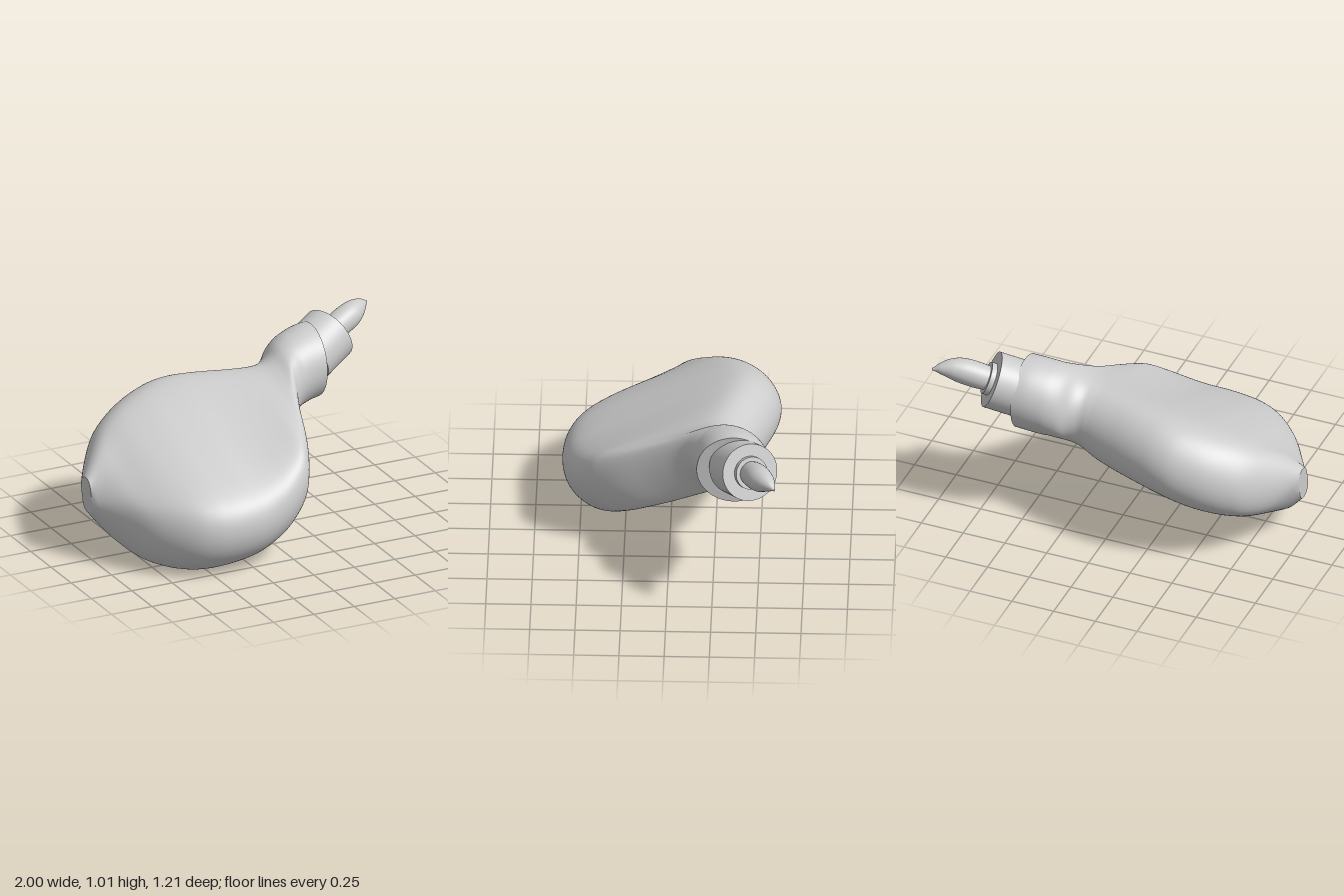
import * as THREE from 'three';

const V = (x, y, z) => new THREE.Vector3(x, y, z);

// Skin over equal-length closed rings, with flat end caps
function loft(rings) {
  const n = rings[0].length, pos = [], idx = [];
  rings.forEach(r => r.forEach(p => pos.push(p.x, p.y, p.z)));
  for (let i = 0; i < rings.length - 1; i++) {
    for (let j = 0; j < n; j++) {
      const k = (j + 1) % n, a = i * n + j, b = i * n + k;
      idx.push(a, a + n, b, b, a + n, b + n);
    }
  }
  [rings[0], rings[rings.length - 1]].forEach((ring, end) => {
    const base = pos.length / 3;
    const c = ring.reduce((s, p) => s.add(p), V(0, 0, 0)).divideScalar(n);
    [c, ...ring].forEach(p => pos.push(p.x, p.y, p.z));
    for (let j = 0; j < n; j++) {
      const a = base + 1 + j, b = base + 1 + (j + 1) % n;
      if (end) idx.push(base, b, a); else idx.push(base, a, b);
    }
  });
  const g = new THREE.BufferGeometry();
  g.setAttribute('position', new THREE.Float32BufferAttribute(pos, 3));
  g.setIndex(idx);
  g.computeVertexNormals();
  return g;
}

// Flat, leaning bottle body that narrows into a round neck
function bodyGeometry() {
  // x, bottom, top, back, front, edge radius
  const sections = [
    [-1, 0.27, 0.47, -0.13, 0.01, 0.06],
    [-0.9, 0.14, 0.565, -0.30, 0.18, 0.155],
    [-0.8, 0.05, 0.645, -0.435, 0.352, 0.205],
    [-0.7, 0.012, 0.707, -0.51, 0.47, 0.233],
    [-0.6, 0, 0.752, -0.56, 0.55, 0.245],
    [-0.5, 0, 0.787, -0.59, 0.59, 0.25],
    [-0.4, 0.01, 0.812, -0.605, 0.605, 0.247],
    [-0.3, 0.024, 0.827, -0.598, 0.605, 0.243],
    [-0.2, 0.043, 0.832, -0.575, 0.592, 0.238],
    [-0.1, 0.078, 0.834, -0.545, 0.567, 0.234],
    [0, 0.128, 0.835, -0.51, 0.53, 0.23],
    [0.1, 0.20, 0.838, -0.475, 0.465, 0.222],
    [0.15, 0.25, 0.842, -0.457, 0.395, 0.214],
    [0.2, 0.315, 0.852, -0.446, 0.28, 0.206],
    [0.25, 0.41, 0.877, -0.462, 0.10, 0.202],
    [0.3, 0.49, 0.92, -0.505, -0.04, 0.205],
    [0.35, 0.522, 0.948, -0.533, -0.098, 0.208],
    [0.4, 0.54, 0.965, -0.55, -0.13, 0.208],
    [0.47, 0.558, 0.982, -0.566, -0.15, 0.207],
    [0.54, 0.57, 0.99, -0.575, -0.16, 0.207],
  ];
  const spline = f => new THREE.CatmullRomCurve3(sections.map(f), false, 'catmullrom', 0.5);
  const vertical = spline(s => V(s[0], s[1], s[2]));
  const depth = spline(s => V(s[3], s[4], s[5]));
  const rings = [], steps = 95, sides = 96;
  for (let i = 0; i <= steps; i++) {
    const a = vertical.getPoint(i / steps), b = depth.getPoint(i / steps), r = b.z;
    const cy = (a.y + a.z) / 2, cz = (b.x + b.y) / 2;
    // Half-length of the slanted spine of a softened stadium
    const sy = (a.z - a.y) / 2 - r, sz = (b.y - b.x) / 2 - r;
    const length = Math.hypot(sy, sz) + 1e-4;
    rings.push(Array.from({ length: sides }, (_, j) => {
      const t = j / sides * Math.PI * 2, c = Math.cos(t), s = Math.sin(t);
      const along = Math.tanh(4 * (sz * c - sy * s) / length);
      return V(a.x, cy - sy * along + r * s, cz + sz * along + r * c);
    }));
  }
  return loft(rings);
}

// Tapered spout along a gently drooping curve
function spoutGeometry() {
  const path = new THREE.CatmullRomCurve3([
    V(0.70, 0.87, -0.46), V(0.77, 0.897, -0.488), V(0.85, 0.926, -0.518),
    V(0.905, 0.943, -0.547), V(0.955, 0.95, -0.577), V(0.998, 0.95, -0.602),
  ], false, 'catmullrom', 0.5);
  const radii = new THREE.SplineCurve(
    [0.066, 0.073, 0.071, 0.057, 0.033, 0.006].map((r, i) => new THREE.Vector2(i, r)));
  const rings = [], steps = 40, sides = 40;
  for (let i = 0; i <= steps; i++) {
    const p = path.getPoint(i / steps), n = path.getTangent(i / steps), r = radii.getPoint(i / steps).y;
    const up = V(0, 1, 0).addScaledVector(n, -n.y).normalize();
    const side = n.clone().cross(up);
    rings.push(Array.from({ length: sides }, (_, j) => {
      const t = j / sides * Math.PI * 2;
      return p.clone().addScaledVector(side, r * Math.cos(t)).addScaledVector(up, r * Math.sin(t));
    }));
  }
  return loft(rings);
}

export function createModel() {
  const group = new THREE.Group();
  group.name = 'squeezeBottle';
  const grey = new THREE.MeshStandardMaterial({ color: 0xcccccc });
  grey.name = 'grey';

  const add = (name, geometry) => {
    const mesh = new THREE.Mesh(geometry, grey);
    mesh.name = name;
    group.add(mesh);
    return mesh;
  };

  add('body', bodyGeometry());

  // Collar and seat ring share the tilted spout axis
  const axis = V(1, 0.43, -0.43).normalize(), face = V(0.70, 0.87, -0.46);
  const disc = (name, radius, from, to) => {
    const mesh = add(name, new THREE.CylinderGeometry(radius, radius, to - from, 64));
    mesh.position.copy(face).addScaledVector(axis, (from + to) / 2);
    mesh.quaternion.setFromUnitVectors(V(0, 1, 0), axis);
  };
  disc('collar', 0.16, -0.22, 0);
  disc('spoutRing', 0.092, -0.01, 0.03);

  add('spout', spoutGeometry());
  return group;
}
